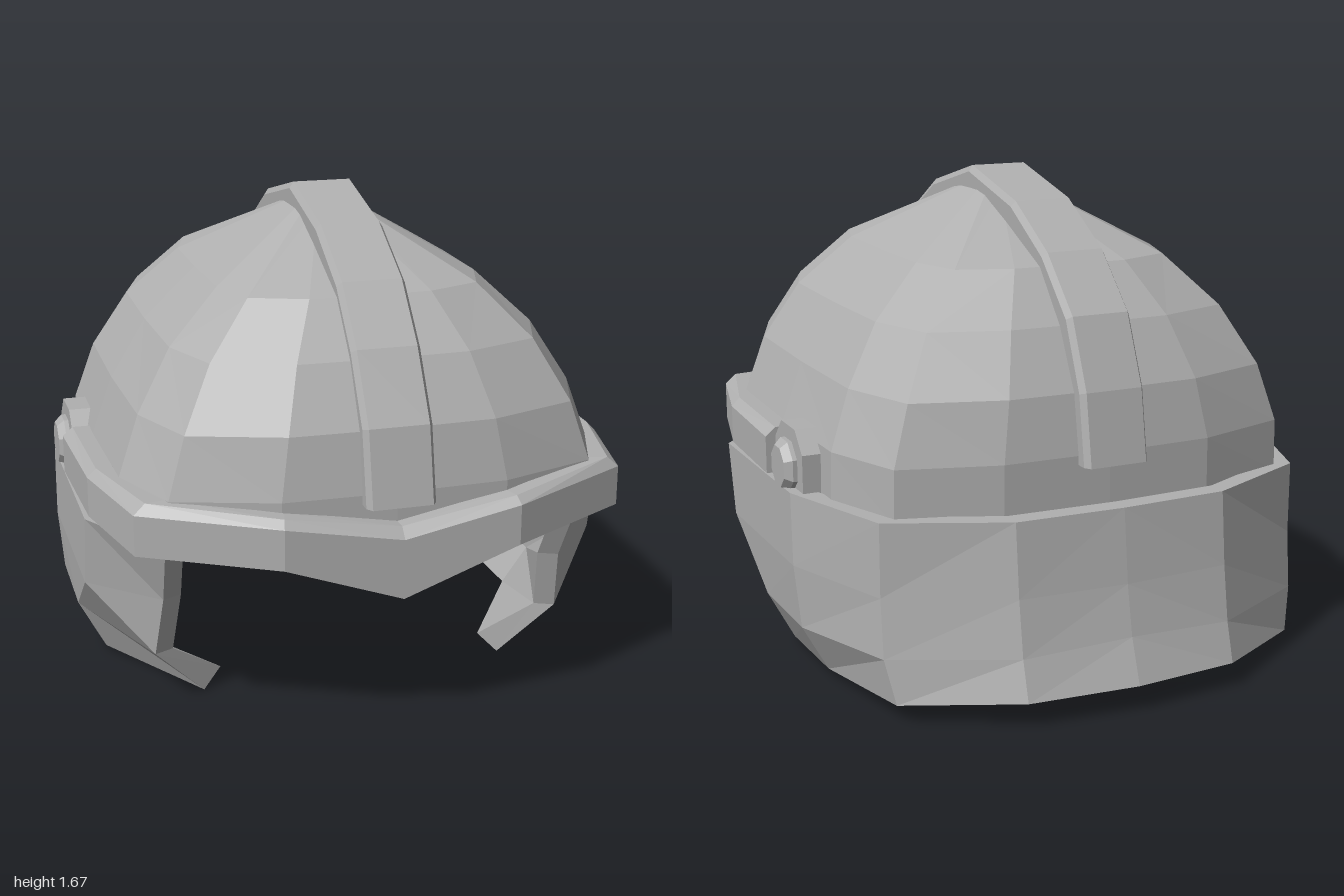
import * as THREE from 'three';

const steel = new THREE.MeshStandardMaterial({ color: 0xb0b0b0 });
steel.name = 'grey steel';

// Faceted closed solid through a row of equal cross-section loops, capped at both ends.
function loft(sections) {
  const pos = [];
  const tri = (...pts) => pts.forEach((p) => pos.push(...p));
  const n = sections[0].length;
  for (let j = 0; j < sections.length - 1; j++) {
    for (let k = 0; k < n; k++) {
      const k2 = (k + 1) % n;
      const a = sections[j][k], b = sections[j + 1][k];
      const c = sections[j + 1][k2], d = sections[j][k2];
      // diagonals mirror about the middle section
      if (j < (sections.length - 1) / 2) { tri(a, b, d); tri(b, c, d); }
      else { tri(a, b, c); tri(a, c, d); }
    }
  }
  const cap = (s, flip) => {
    for (let i = 0; i < n / 2 - 1; i++) {
      const q = [s[i], s[i + 1], s[n - 2 - i], s[n - 1 - i]];
      if (flip) q.reverse();
      tri(q[0], q[1], q[2]);
      tri(q[0], q[2], q[3]);
    }
  };
  cap(sections[0], false);
  cap(sections[sections.length - 1], true);
  // turn every face outward using the signed volume
  let volume = 0;
  const A = new THREE.Vector3(), B = new THREE.Vector3(), C = new THREE.Vector3();
  for (let i = 0; i < pos.length; i += 9) {
    volume += A.fromArray(pos, i).dot(B.fromArray(pos, i + 3).cross(C.fromArray(pos, i + 6)));
  }
  if (volume < 0) {
    for (let i = 0; i < pos.length; i += 9) {
      for (let m = 0; m < 3; m++) [pos[i + 3 + m], pos[i + 6 + m]] = [pos[i + 6 + m], pos[i + 3 + m]];
    }
  }
  const g = new THREE.BufferGeometry();
  g.setAttribute('position', new THREE.Float32BufferAttribute(pos, 3));
  g.computeVertexNormals();
  return g;
}

// Sections given from the centre line outward on +x, mirrored to the full row.
function mirrorRow(half) {
  const left = half.slice(1).reverse().map((s) => s.map(([x, y, z]) => [-x, y, z]));
  return [...left, ...half];
}

function part(name, geometry) {
  const m = new THREE.Mesh(geometry, steel);
  m.name = name;
  return m;
}

// Skull: rounded-square outline shrinking toward the crown
function buildDome() {
  const half = [[0, 0.93], [0.38, 0.92], [0.72, 0.81], [0.83, 0.54], [0.84, 0.07],
    [0.83, -0.4], [0.72, -0.68], [0.38, -0.78], [0, -0.79]];
  const ring = [...half, ...half.slice(1, -1).reverse().map(([x, z]) => [-x, z])];
  const levels = [[0.65, 0.99, 0.99], [0.83, 0.985, 0.99], [1.03, 0.9, 0.95],
    [1.23, 0.755, 0.83], [1.4, 0.54, 0.66], [1.6, 0.13, 0.14]];
  return loft(levels.map(([y, sx, sz]) => ring.map(([x, z]) => [x * sx, y, 0.07 + (z - 0.07) * sz])));
}

// Comb: bevelled strip running from brow to nape
function buildComb() {
  const path = [[0.98, 0.8], [0.93, 1.05], [0.8, 1.27], [0.64, 1.45], [0.4, 1.59], [0.07, 1.675],
    [-0.28, 1.59], [-0.52, 1.45], [-0.7, 1.27], [-0.8, 1.04], [-0.84, 0.8]];
  return loft(path.map(([z, y]) => {
    const at = (x, s) => [x, 0.8 + (y - 0.8) * s, 0.07 + (z - 0.07) * s];
    return [at(0.1, 1), at(0.115, 0.975), at(0.115, 0.87), at(-0.115, 0.87), at(-0.115, 0.975), at(-0.1, 1)];
  }));
}

// Cheeks and neck: one thick shell, open at the front
function buildGuard() {
  const columns = [
    [[0, 0.67, -0.88], [0, 0.42, -0.91], [0, 0.25, -0.945], [0, 0.1, -1]],
    [[0.38, 0.67, -0.865], [0.38, 0.42, -0.89], [0.38, 0.23, -0.92], [0.38, 0.095, -0.96]],
    [[0.77, 0.67, -0.69], [0.77, 0.42, -0.69], [0.77, 0.22, -0.71], [0.74, 0.07, -0.74]],
    [[0.92, 0.67, -0.27], [0.92, 0.42, -0.28], [0.9, 0.2, -0.29], [0.81, 0.035, -0.29]],
    [[0.92, 0.66, 0.44], [0.92, 0.41, 0.38], [0.905, 0.2, 0.07], [0.81, 0.02, 0.07]],
    [[0.71, 0.635, 0.73], [0.7, 0.42, 0.62], [0.72, 0.2, 0.56], [0.54, 0.005, 0.48]],
  ];
  const inset = [[0, 0.07], [0, 0.07], [0.055, 0.05], [0.07, 0.02], [0.07, -0.03], [0.065, -0.03]];
  const lift = [-0.03, -0.025, 0, 0.03, 0.05, 0.065];
  return loft(mirrorRow(columns.map((col, i) => {
    const inner = col.map(([x, y, z], r) => [x - inset[i][0], y + (r === 3 ? lift[i] : 0), z + inset[i][1]]);
    return [...col, ...inner.reverse()];
  })));
}

// Brow band dipping to a point; each station: outer x, z, inner x, z, bottom, outer top, inner top
function buildBrow() {
  const stations = [
    [0, 1, 0, 0.91, 0.5, 0.7, 0.735],
    [0.39, 1, 0.37, 0.92, 0.64, 0.775, 0.8],
    [0.82, 0.8, 0.71, 0.78, 0.66, 0.795, 0.83],
    [0.905, 0.43, 0.82, 0.43, 0.665, 0.8, 0.83],
    [0.92, -0.02, 0.82, -0.02, 0.67, 0.8, 0.83],
  ];
  return loft(mirrorRow(stations.map(([x, z, ix, iz, low, top, itop]) => {
    // narrow top lip between the sloping bevel and the skull
    const lx = x + (ix - x) * 0.35, lz = z + (iz - z) * 0.35;
    return [[x, low, z], [x, top, z], [lx, itop, lz], [ix, itop, iz], [ix, low, iz], [lx, low, lz]];
  })));
}

// Hinge: arched mount with a bevelled octagonal knob
function buildHinge(side) {
  const hinge = new THREE.Group();
  hinge.name = side > 0 ? 'leftHinge' : 'rightHinge';
  const arch = [[-0.02, 0.655], [-0.02, 0.8], [-0.09, 0.872], [-0.23, 0.872], [-0.3, 0.8], [-0.3, 0.655]];
  const slice = (x, s) => arch.map(([z, y]) => [side * x, 0.735 + (y - 0.735) * s, -0.16 + (z + 0.16) * s]);
  const knobSlice = (x, r) => Array.from({ length: 8 }, (_, i) => {
    const a = (i + 0.5) * Math.PI / 4;
    return [side * x, 0.735 + r * Math.sin(a), -0.16 + r * Math.cos(a)];
  });
  hinge.add(part('hingeMount', loft([slice(0.78, 1), slice(0.885, 1)])));
  hinge.add(part('hingeKnob', loft([knobSlice(0.8, 0.095), knobSlice(0.9, 0.095), knobSlice(0.925, 0.072)])));
  return hinge;
}

export function createModel() {
  const helmet = new THREE.Group();
  helmet.name = 'helmet';
  helmet.add(
    part('dome', buildDome()),
    part('comb', buildComb()),
    part('cheekAndNeckGuard', buildGuard()),
    part('browBand', buildBrow()),
    buildHinge(1),
    buildHinge(-1),
  );
  return helmet;
}
